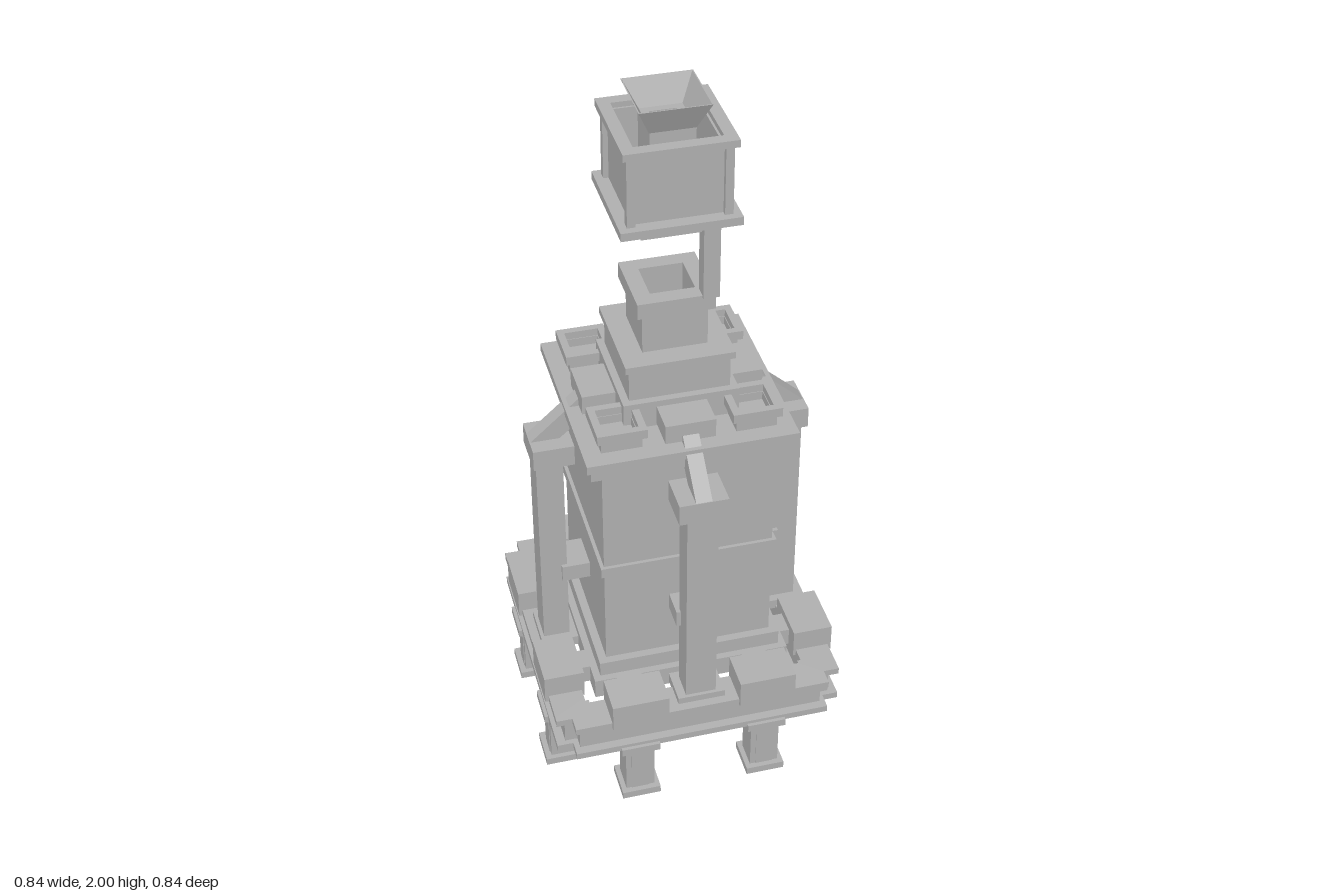
import * as THREE from 'three';

export function createModel() {
  const root = new THREE.Group();
  root.name = 'tower';
  const stone = new THREE.MeshStandardMaterial({ color: 0xb0b0b0 });
  stone.name = 'grey stone';

  const add = (parent, name, geo) => {
    const m = new THREE.Mesh(geo, stone);
    m.name = name;
    parent.add(m);
    return m;
  };
  // Box given by its extents
  const box = (parent, name, x0, x1, y0, y1, z0, z1) => {
    const g = new THREE.BoxGeometry(x1 - x0, y1 - y0, z1 - z0);
    g.translate((x0 + x1) / 2, (y0 + y1) / 2, (z0 + z1) / 2);
    return add(parent, name, g);
  };
  // Square section swept around the y axis; profile is [halfWidth, y], anticlockwise
  const square = (parent, name, profile) => {
    const pts = profile.map(([r, y]) => new THREE.Vector2(r * Math.SQRT2, y));
    const g = new THREE.LatheGeometry(pts, 4, Math.PI / 4).toNonIndexed();
    g.computeVertexNormals();
    return add(parent, name, g);
  };
  // Hollow square block
  const frame = (parent, name, outer, inner, y0, y1) =>
    square(parent, name, [[inner, y0], [outer, y0], [outer, y1], [inner, y1], [inner, y0]]);
  const group = (name, angle = 0) => {
    const g = new THREE.Group();
    g.name = name;
    g.rotation.y = angle;
    root.add(g);
    return g;
  };

  // Stepped-corner ring deck, in three layers
  const stepped = (shape, a, b, c) => {
    const corner = [[a, c], [b, c], [b, b], [c, b], [c, a]];
    const pts = [];
    for (let i = 0; i < 4; i++) {
      for (const [x, y] of corner.slice().reverse()) {
        const t = i * Math.PI / 2;
        pts.push(new THREE.Vector2(x * Math.cos(t) - y * Math.sin(t), x * Math.sin(t) + y * Math.cos(t)));
      }
    }
    shape.setFromPoints(pts);
    return shape;
  };
  const deck = (name, a, b, c, hole, y0, y1) => {
    const s = stepped(new THREE.Shape(), a, b, c);
    s.holes.push(stepped(new THREE.Path(), hole - 0.02, hole - 0.01, hole));
    const g = new THREE.ExtrudeGeometry(s, { depth: y1 - y0, bevelEnabled: false });
    g.rotateX(-Math.PI / 2);
    g.translate(0, y0, 0);
    add(root, name, g);
  };
  deck('deckLowerPlate', 0.35, 0.365, 0.41, 0.315, 0.185, 0.205);
  deck('deckBody', 0.335, 0.35, 0.385, 0.325, 0.205, 0.28);
  deck('deckUpperPlate', 0.35, 0.365, 0.41, 0.315, 0.28, 0.3);

  // Four sides: legs, deck blocks, columns and buttresses
  for (let i = 0; i < 4; i++) {
    const back = i === 2;
    const side = group('side' + (i + 1), i * Math.PI / 2);
    for (const s of [-1, 1]) {
      const leg = new THREE.Group();
      leg.name = 'leg';
      leg.position.set(s * 0.183, 0, 0.365);
      side.add(leg);
      box(leg, 'legFoot', -0.055, 0.055, 0, 0.022, -0.055, 0.055);
      box(leg, 'legCap', -0.055, 0.055, 0.172, 0.195, -0.055, 0.055);
      box(leg, 'legWeb', -0.025, 0.025, 0.022, 0.172, -0.04, 0.04);
      for (const f of [-1, 1])
        box(leg, 'legFlange', f * 0.033 - 0.008, f * 0.033 + 0.008, 0.022, 0.172, -0.038, 0.038);
      const x = s * 0.182;
      box(side, 'deckBlock', x - 0.08, x + 0.08, 0.28, 0.365, 0.307, 0.42);
      box(side, 'deckTie', x - 0.035, x + 0.035, 0.285, 0.34, 0.23, 0.31);
    }

    // Column, doubled at the back
    const w = back ? 0.125 : 0.067;
    for (const c of back ? [-0.08, 0.08] : [0])
      box(side, 'column', c - 0.043, c + 0.043, 0.3, 0.96, 0.3, 0.375);
    box(side, 'columnCapital', -w, w, 0.95, 1.012, 0.272, 0.385);
    box(side, 'columnFoot', -w, w, 0.29, 0.32, 0.24, 0.385);
    box(side, 'columnClamp', -0.055, 0.055, 0.53, 0.58, 0.23, 0.316);
    if (back) box(side, 'backBox', -0.04, 0.04, 0.58, 0.72, 0.23, 0.3);

    // Sloping strut from the column to the crown
    const strut = new THREE.Shape([[-0.385, 1.01], [-0.305, 1.01], [-0.2, 1.1], [-0.2, 1.14], [-0.24, 1.14]]
      .map(([x, y]) => new THREE.Vector2(x, y)));
    const g = new THREE.ExtrudeGeometry(strut, { depth: 0.044, bevelEnabled: false });
    g.translate(0, 0, -0.022);
    g.rotateY(Math.PI / 2);
    add(side, 'strut', g);
    box(side, 'crownBlock', -0.068, 0.068, 1.115, 1.17, 0.14, 0.248);

    // Hollow corner tray
    const tray = new THREE.Group();
    tray.name = 'cornerTray';
    tray.position.set(0.182, 0, 0.182);
    side.add(tray);
    frame(tray, 'trayWall', 0.055, 0.045, 1.1, 1.15);
    frame(tray, 'trayRim', 0.067, 0.047, 1.145, 1.172);
    box(tray, 'trayFloor', -0.05, 0.05, 1.1, 1.125, -0.05, 0.05);
  }

  // Main shaft
  frame(root, 'shaftFloor', 0.24, 0.05, 0.27, 0.31);
  frame(root, 'shaftSkirt', 0.28, 0.18, 0.28, 0.34);
  frame(root, 'shaftPlinth', 0.26, 0.2, 0.34, 0.385);
  frame(root, 'shaftWalls', 0.237, 0.19, 0.3, 1.06);
  frame(root, 'shaftBand', 0.247, 0.2, 0.69, 0.72);
  frame(root, 'corniceLower', 0.273, 0.15, 1.05, 1.09);
  frame(root, 'corniceUpper', 0.286, 0.07, 1.085, 1.11);

  // Stepped neck
  frame(root, 'neckBase', 0.157, 0.07, 1.1, 1.188);
  frame(root, 'neckBlock', 0.137, 0.07, 1.188, 1.28);
  frame(root, 'neckPlate', 0.148, 0.065, 1.28, 1.3);
  frame(root, 'neck', 0.088, 0.06, 1.3, 1.415);
  frame(root, 'neckCap', 0.104, 0.06, 1.415, 1.46);

  // Single corner post carrying the lantern
  box(root, 'lanternPost', 0.068, 0.112, 1.455, 1.695, 0.068, 0.112);

  // Lantern box
  const lantern = group('lantern');
  frame(lantern, 'lanternSeat', 0.09, 0.05, 1.643, 1.695);
  frame(lantern, 'lanternFloor', 0.157, 0.037, 1.69, 1.713);
  frame(lantern, 'lanternWalls', 0.122, 0.108, 1.71, 1.91);
  for (const x of [-1, 1]) for (const z of [-1, 1])
    box(lantern, 'lanternCornerPost', x * 0.125 - 0.011, x * 0.125 + 0.011, 1.71, 1.91, z * 0.125 - 0.011, z * 0.125 + 0.011);
  frame(lantern, 'lanternRim', 0.147, 0.114, 1.905, 1.925);

  // Flared chimney
  frame(lantern, 'chimneyNeck', 0.058, 0.035, 1.7, 1.93);
  square(lantern, 'chimneyFunnel', [[0.035, 1.925], [0.06, 1.925], [0.093, 2], [0.09, 2], [0.056, 1.932], [0.035, 1.932], [0.035, 1.925]]);

  return root;
}
